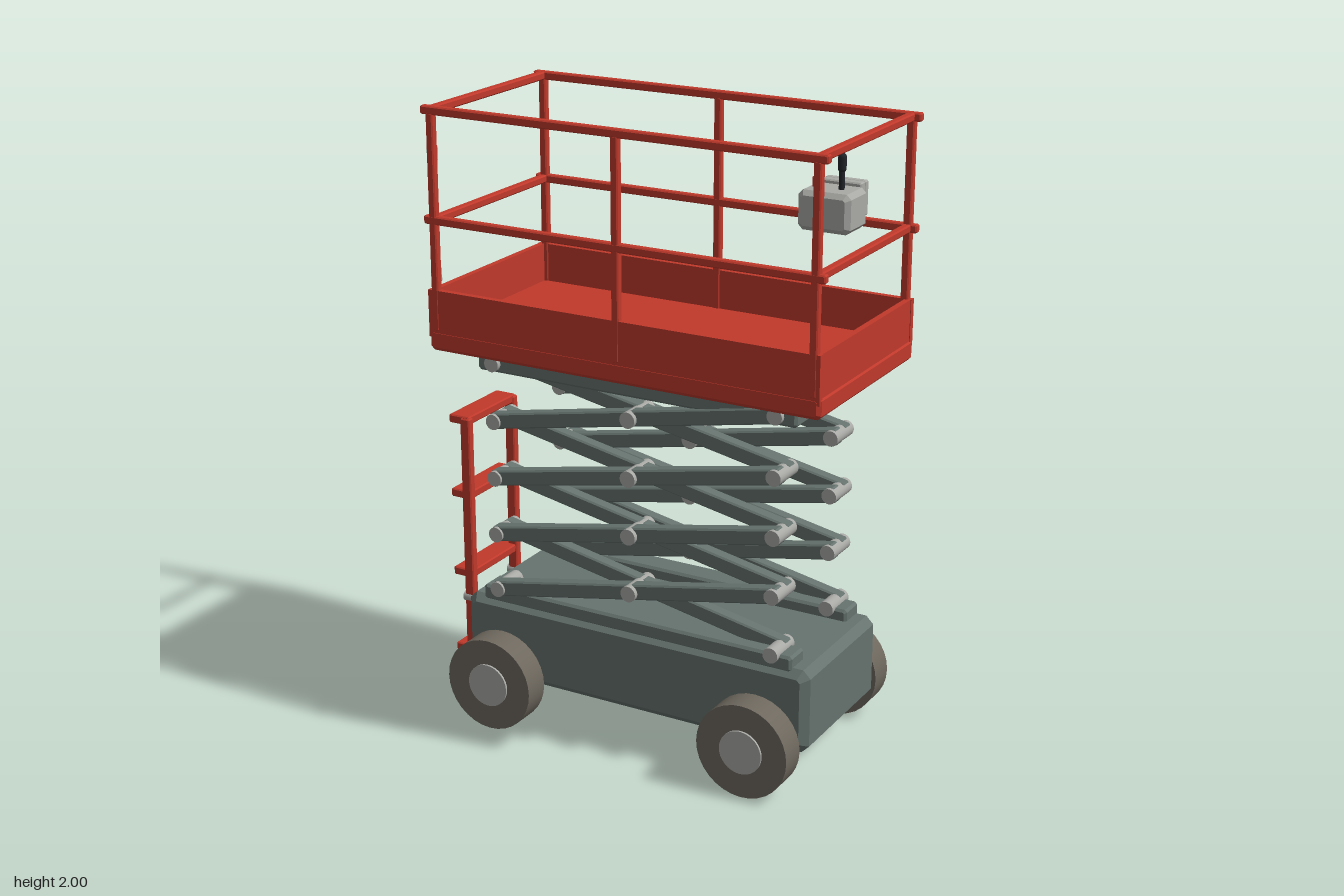
import * as THREE from 'three';

const mat = (color) => new THREE.MeshStandardMaterial({ color, flatShading: true });
const smooth = (color) => new THREE.MeshStandardMaterial({ color });

// Box with all its edges chamfered by c
function chamferBox(w, h, d, c) {
  const a = w / 2, b = h / 2;
  const pts = [[-a + c, -b], [a - c, -b], [a, -b + c], [a, b - c], [a - c, b], [-a + c, b], [-a, b - c], [-a, -b + c]];
  const shape = new THREE.Shape(pts.map(([x, y]) => new THREE.Vector2(x, y)));
  const geo = new THREE.ExtrudeGeometry(shape, {
    depth: d - 2 * c, bevelEnabled: true, bevelSegments: 1, bevelSize: c, bevelThickness: c, bevelOffset: -c,
  });
  return geo.translate(0, 0, -d / 2 + c);
}

export function createModel() {
  const model = new THREE.Group();
  model.name = 'scissorLift';
  const red = mat(0xc0392b), steel = mat(0x66736f);
  const grey = mat(0xa9aaa6), greySmooth = smooth(0xa9aaa6);
  const rubber = smooth(0x6e685e), black = smooth(0x22252a);

  const group = (name) => {
    const g = new THREE.Group();
    g.name = name;
    model.add(g);
    return g;
  };
  const add = (parent, name, geo, material, x, y, z) => {
    const m = new THREE.Mesh(geo, material);
    m.name = name;
    m.position.set(x, y, z);
    parent.add(m);
    return m;
  };
  // Box given by its limits on each axis
  const box = (parent, name, material, [x0, x1], [y0, y1], [z0, z1], c = 0) => {
    const s = [x1 - x0, y1 - y0, z1 - z0];
    const geo = c ? chamferBox(...s, c) : new THREE.BoxGeometry(...s);
    return add(parent, name, geo, material, (x0 + x1) / 2, (y0 + y1) / 2, (z0 + z1) / 2);
  };
  const rod = (r, len, axis, seg = 24) => {
    const geo = new THREE.CylinderGeometry(r, r, len, seg);
    if (axis === 'x') geo.rotateZ(Math.PI / 2);
    if (axis === 'z') geo.rotateX(Math.PI / 2);
    return geo;
  };

  // Chassis
  const chassis = group('chassis');
  box(chassis, 'chassisBody', steel, [-0.58, 0.645], [0.125, 0.4], [-0.25, 0.25], 0.025);

  // Wheels with hubs and stub axles
  const wheels = group('wheels');
  for (const x of [-0.425, 0.485]) for (const s of [-1, 1]) {
    add(wheels, 'tyre', rod(0.153, 0.09, 'z', 32), rubber, x, 0.155, s * 0.32);
    add(wheels, 'hub', rod(0.071, 0.1, 'z', 32), greySmooth, x, 0.155, s * 0.322);
    add(wheels, 'axle', rod(0.03, 0.08, 'z'), greySmooth, x, 0.155, s * 0.26);
  }

  // Scissor stack: guide rails, crossed arms and pins on each side
  const scissor = group('scissorStack');
  const x0 = -0.46, x1 = 0.52, cx = 0.03, y0 = 0.435, step = 0.19, levels = 4;
  const angle = Math.atan2(step, x1 - x0);
  const armGeo = chamferBox(Math.hypot(step, x1 - x0) + 0.03, 0.05, 0.044, 0.005);
  for (const s of [-1, 1]) {
    const z = s * 0.193;
    box(scissor, 'lowerRail', steel, [-0.52, 0.585], [0.385, 0.437], [z - 0.045, z + 0.045], 0.008);
    box(scissor, 'upperRail', steel, [-0.52, 0.585], [1.165, 1.236], [z - 0.043, z + 0.043], 0.008);
    for (let i = 0; i < levels; i++) {
      const y = y0 + step * (i + 0.5);
      add(scissor, 'outerArm', armGeo, steel, cx, y, z + 0.028).rotation.z = angle;
      add(scissor, 'innerArm', armGeo, steel, cx, y, z - 0.028).rotation.z = -angle;
      add(scissor, 'centrePin', rod(0.026, 0.13, 'z'), greySmooth, cx, y, z);
    }
    for (let i = 0; i <= levels; i++) for (const x of [x0, x1])
      add(scissor, 'endPin', rod(0.025, 0.117, 'z'), greySmooth, x, y0 + step * i, z);
  }

  // Platform deck and toe boards
  const platform = group('platform');
  const px0 = -0.637, px1 = 0.7, pz = 0.325;
  box(platform, 'deck', red, [px0, px1], [1.235, 1.305], [-pz, pz], 0.012);
  for (const s of [-1, 1])
    box(platform, 'sideToeBoard', red, [px0 + 0.002, px1 - 0.003], [1.28, 1.43], [s * 0.314 - 0.01, s * 0.314 + 0.01]);
  for (const x of [-0.622, 0.685])
    box(platform, 'endToeBoard', red, [x - 0.01, x + 0.01], [1.28, 1.43], [-0.305, 0.305]);

  // Guard rails and posts
  const guard = group('guardRail');
  const t = 0.0125;
  for (const s of [-1, 1]) {
    const z = s * 0.313;
    for (const x of [-0.61, 0.03, 0.674])
      box(guard, 'post', red, [x - t, x + t], [1.3, 1.98], [z - t, z + t], 0.004);
    for (const y of [1.65, 1.987])
      box(guard, 'sideRail', red, [-0.641, 0.706], [y - 0.013, y + 0.013], [z - 0.013, z + 0.013], 0.004);
  }
  for (const x of [-0.61, 0.674]) for (const y of [1.65, 1.987])
    box(guard, 'endRail', red, [x - t, x + t], [y - t, y + t], [-0.313, 0.313], 0.004);
  for (const y of [1.47, 1.85])
    box(guard, 'gateHinge', grey, [-0.637, -0.613], [y - 0.023, y + 0.023], [0.275, 0.305], 0.003);

  // Control box with lever and stop button
  const control = group('controlBox');
  box(control, 'controlHousing', grey, [0.38, 0.553], [1.642, 1.765], [-0.285, -0.15], 0.015);
  box(control, 'controlBracket', grey, [0.4, 0.535], [1.65, 1.777], [-0.303, -0.27], 0.004);
  box(control, 'controlHook', grey, [0.4, 0.535], [1.668, 1.777], [-0.327, -0.3], 0.004);
  add(control, 'leverStem', rod(0.009, 0.08, 'y'), black, 0.495, 1.79, -0.22);
  add(control, 'leverGrip', new THREE.CapsuleGeometry(0.013, 0.034, 6, 16), black, 0.495, 1.846, -0.22);
  add(control, 'stopButton', rod(0.015, 0.035, 'y'), smooth(0xc0392b), 0.415, 1.776, -0.22);

  // Ladder on the end of the chassis
  const ladder = group('ladder');
  for (const s of [-1, 1]) {
    const z = s * 0.13;
    box(ladder, 'stringer', red, [-0.66, -0.625], [0.09, 0.95], [z - 0.014, z + 0.014], 0.004);
    add(ladder, 'ladderMount', rod(0.018, 0.1, 'x'), greySmooth, -0.615, 0.325, z);
  }
  for (const y of [0.133, 0.408, 0.685, 0.941])
    box(ladder, 'rung', red, [-0.706, -0.63], [y - 0.014, y + 0.014], [-0.138, 0.138], 0.004);

  return model;
}
